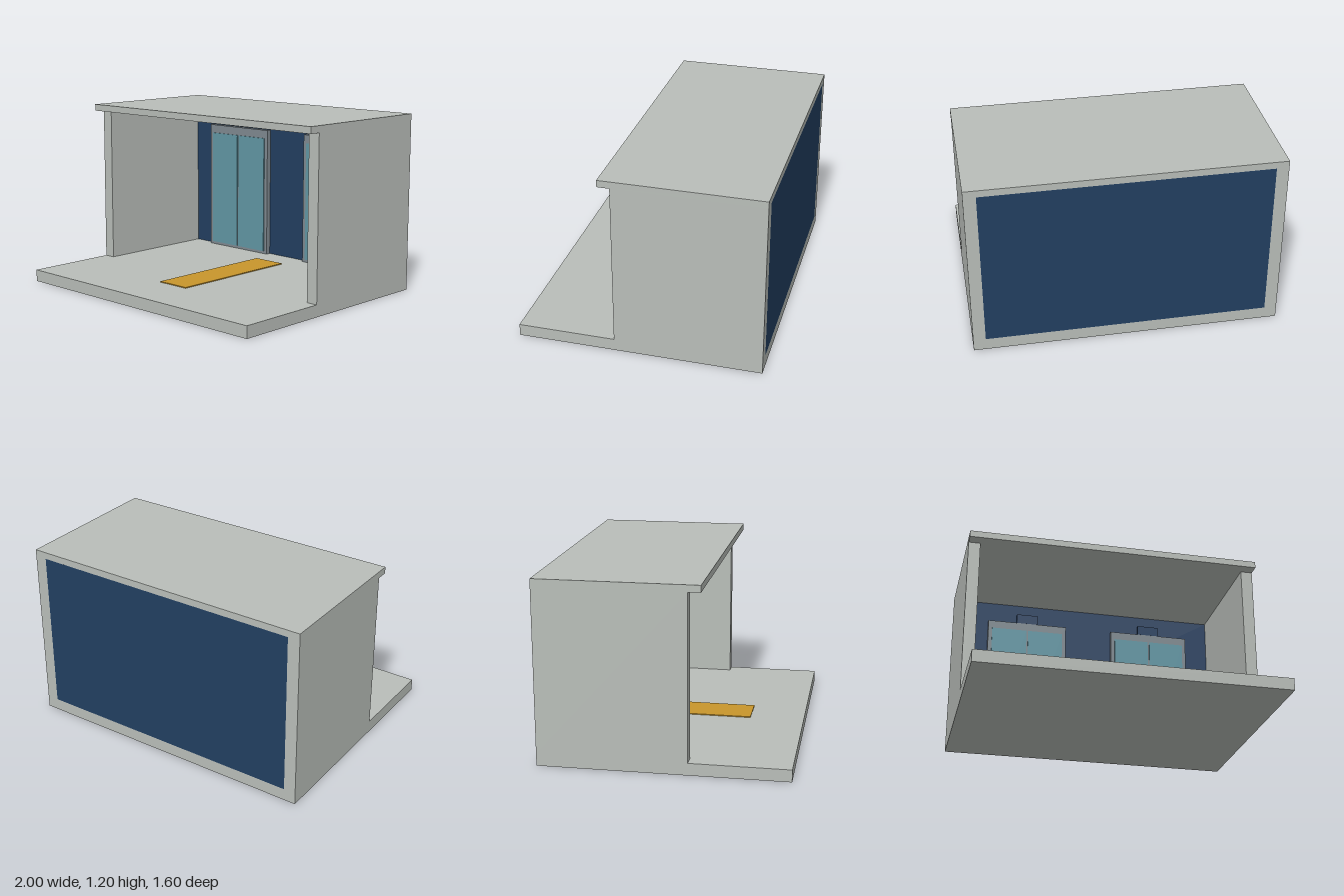
import * as THREE from 'three';

const mat = (name, color) => {
  const m = new THREE.MeshStandardMaterial({ color });
  m.name = name;
  return m;
};

export function createModel() {
  const concrete = mat('pale concrete', 0xb9beb9);
  const navy = mat('navy panel', 0x223f61);
  const metal = mat('frame grey', 0x808a91);
  const glass = mat('teal glass', 0x6297a5);
  const ochre = mat('ochre strip', 0xc8962c);

  const model = new THREE.Group();
  model.name = 'entrancePavilion';

  // Box given by its min and max on each axis
  const box = (parent, name, material, [x0, x1], [y0, y1], [z0, z1]) => {
    const mesh = new THREE.Mesh(new THREE.BoxGeometry(x1 - x0, y1 - y0, z1 - z0), material);
    mesh.position.set((x0 + x1) / 2, (y0 + y1) / 2, (z0 + z1) / 2);
    mesh.name = name;
    parent.add(mesh);
    return mesh;
  };

  // Shell: slab, roof with front overhang, side walls and back wall
  box(model, 'floorSlab', concrete, [-1, 1], [0, 0.08], [-0.8, 0.8]);
  box(model, 'roof', concrete, [-1, 1], [1.155, 1.2], [-0.8, 0.24]);
  box(model, 'leftWall', concrete, [0.92, 1], [0.08, 1.155], [-0.8, 0.16]);
  box(model, 'rightWall', concrete, [-1, -0.92], [0.08, 1.155], [-0.8, 0.16]);
  box(model, 'backWall', navy, [-0.92, 0.92], [0.08, 1.155], [-0.8, -0.72]);

  // Guide strip on the floor
  box(model, 'floorStrip', ochre, [-0.12, 0.12], [0.08, 0.086], [-0.52, 0.44]);

  // Two double doors, each with a sign plate above
  for (const [side, cx] of [['left', 0.46], ['right', -0.46]]) {
    const door = new THREE.Group();
    door.name = side + 'Door';
    door.position.set(cx, 0, -0.72);
    model.add(door);
    box(door, 'doorFrame', metal, [-0.288, 0.288], [0.08, 1.0], [0, 0.035]);
    box(door, 'doorPaneRight', glass, [-0.26, -0.006], [0.1, 0.94], [0.035, 0.042]);
    box(door, 'doorPaneLeft', glass, [0.006, 0.26], [0.1, 0.94], [0.035, 0.042]);
    box(door, 'signPlate', navy, [-0.078, 0.078], [1.005, 1.075], [0, 0.025]);
  }

  return model;
}
